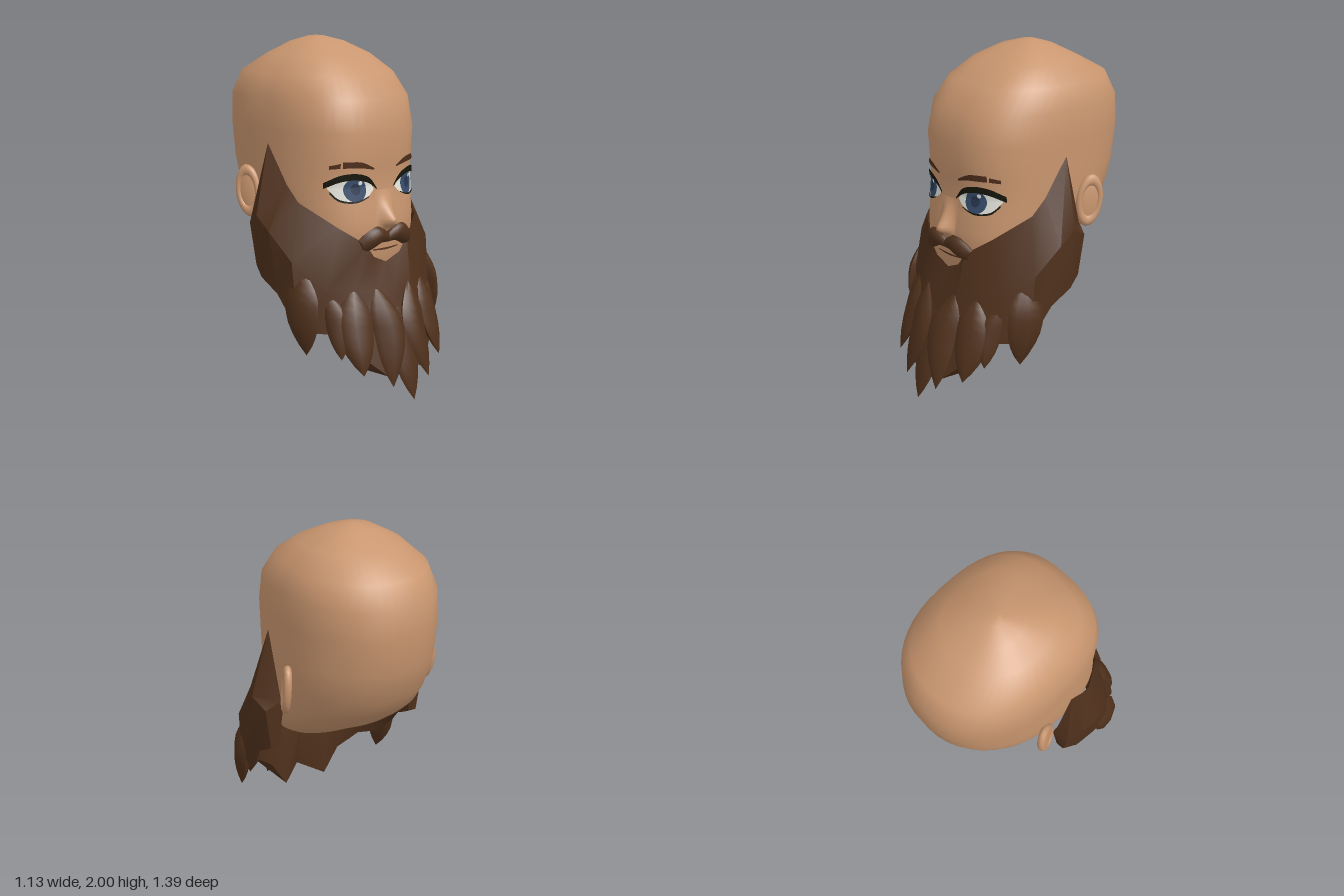
import * as THREE from 'three';
import { toCreasedNormals } from 'three/addons/utils/BufferGeometryUtils.js';

const V = (x, y, z) => new THREE.Vector3(x, y, z);
const paint = (name, color) => Object.assign(new THREE.MeshStandardMaterial({ color }), { name });

// Head cross-sections: height, half width, front z, back z
const HEAD = [
  [2.0, 0.04, -0.1, -0.18], [1.97, 0.15, 0.01, -0.28], [1.9, 0.28, 0.16, -0.42],
  [1.8, 0.385, 0.31, -0.61], [1.67, 0.435, 0.41, -0.68], [1.5, 0.437, 0.455, -0.695],
  [1.3, 0.435, 0.44, -0.665], [1.2, 0.433, 0.43, -0.63], [1.1, 0.425, 0.445, -0.585],
  [1.0, 0.41, 0.46, -0.52], [0.93, 0.395, 0.46, -0.44], [0.85, 0.375, 0.45, -0.33],
  [0.78, 0.345, 0.44, -0.2], [0.7, 0.29, 0.42, -0.06], [0.63, 0.2, 0.38, 0.08], [0.6, 0.02, 0.24, 0.2],
];
const FRONT_POWER = 2.6, BACK_POWER = 2.15;

// Front surface of the head at x, y
function headZ(x, y) {
  const i = Math.max(1, HEAD.findIndex((r) => r[0] <= y));
  const a = HEAD[i - 1], b = HEAD[i], t = (a[0] - y) / (a[0] - b[0]);
  const [w, zf, zb] = [1, 2, 3].map((k) => a[k] + (b[k] - a[k]) * t);
  const c = (zf + zb) / 2;
  const u = Math.min(1, Math.abs(x) / w);
  return c + (zf - c) * Math.pow(1 - Math.pow(u, FRONT_POWER), 1 / FRONT_POWER);
}

// Closed skin over rings of points, capped at both ends and always facing outward
function loft(rings, crease) {
  const n = rings[0].length, pts = rings.flat(), idx = [];
  for (let i = 0; i < rings.length - 1; i++) {
    for (let j = 0; j < n; j++) {
      const a = i * n + j, b = i * n + (j + 1) % n;
      idx.push(a, b, a + n, b, b + n, a + n);
    }
  }
  const last = (rings.length - 1) * n;
  for (let j = 1; j < n - 1; j++) idx.push(0, j + 1, j, last, last + j, last + j + 1);
  let volume = 0;
  for (let i = 0; i < idx.length; i += 3) {
    volume += pts[idx[i]].dot(pts[idx[i + 1]].clone().cross(pts[idx[i + 2]]));
  }
  if (volume < 0) idx.reverse();
  const g = new THREE.BufferGeometry().setFromPoints(pts);
  g.setIndex(idx);
  if (crease) return toCreasedNormals(g, crease);
  g.computeVertexNormals();
  return g;
}

// Tapered lock of hair along a path; u and v are the width and depth directions
function lock(path, widths, depth, u, v, rows = 10, sides = 8) {
  const curve = new THREE.CatmullRomCurve3(path);
  const rings = [];
  for (let i = 0; i < rows; i++) {
    const t = i / (rows - 1), f = t * (widths.length - 1), k = Math.min(Math.floor(f), widths.length - 2);
    const r = widths[k] + (widths[k + 1] - widths[k]) * (f - k);
    rings.push(Array.from({ length: sides }, (_, j) => {
      const a = (j / sides) * Math.PI * 2;
      return curve.getPoint(t).addScaledVector(u, r * Math.cos(a)).addScaledVector(v, r * depth * Math.sin(a));
    }));
  }
  return loft(rings, 0.9);
}

// Thin plate between a lower and an upper curve, laid on the face, with an optional bump
function plate(lo, hi, side, lift, bump = () => 0) {
  const columns = 20, rows = 12;
  const curves = [lo, hi].map((c) => new THREE.SplineCurve(c.map((p) => new THREE.Vector2(...p))));
  const pts = [], idx = [];
  for (let i = 0; i <= columns; i++) {
    const a = curves[0].getPoint(i / columns), b = curves[1].getPoint(i / columns);
    for (let j = 0; j <= rows; j++) {
      const p = a.clone().lerp(b, j / rows);
      pts.push(V(p.x * side, p.y, headZ(p.x, p.y) + lift + bump(p.x, p.y)));
      if (i < columns && j < rows) {
        const k = i * (rows + 1) + j, m = k + rows + 1;
        idx.push(k, m, k + 1, m, m + 1, k + 1);
      }
    }
  }
  if (side < 0) idx.reverse();
  const g = new THREE.BufferGeometry().setFromPoints(pts);
  g.setIndex(idx);
  g.computeVertexNormals();
  return g;
}

// Lower or upper half of an ellipse, from left to right
const arc = (x, y, rx, ry, sign) => Array.from({ length: 11 }, (_, i) => {
  const a = Math.PI * (1 - i / 10);
  return [x + rx * Math.cos(a), y + sign * ry * Math.sin(a)];
});

export function createModel() {
  const model = new THREE.Group();
  const skin = paint('skin', 0xc9966f), hair = paint('beard brown', 0x50311c);
  const brow = paint('brow brown', 0x4f2e1b), white = paint('eye white', 0xe6e6de);
  const iris = paint('iris blue', 0x384d6c), pupil = paint('pupil navy', 0x28374f);
  const lash = paint('lash black', 0x17160b), lip = paint('mouth line', 0x5f3626);
  const add = (name, geometry, material, parent = model) => {
    const mesh = new THREE.Mesh(geometry, material);
    mesh.name = name;
    parent.add(mesh);
  };

  // Head
  add('head', loft(HEAD.map(([y, w, zf, zb]) => Array.from({ length: 48 }, (_, j) => {
    const a = (j / 48) * Math.PI * 2, s = Math.sin(a), c = Math.cos(a);
    const e = 2 / (c > 0 ? FRONT_POWER : BACK_POWER);
    return V(w * Math.sign(s) * Math.abs(s) ** e, y,
      (zf + zb) / 2 + (zf - zb) / 2 * Math.sign(c) * Math.abs(c) ** e);
  }))), skin);

  // Nose: a soft bump that fades into the face
  add('nose', plate([[-0.075, 0.935], [0.075, 0.935]], [[-0.075, 1.17], [0.075, 1.17]], 1, 0.001, (x, y) => {
    const rise = y > 1 ? Math.max(0, (1.17 - y) / 0.17) ** 1.5 : THREE.MathUtils.smoothstep(y, 0.94, 1);
    return 0.077 * rise * Math.cos((x / 0.075) * Math.PI / 2) ** 2;
  }), skin);

  // Mouth
  add('mouthLine', plate([[-0.1, 0.834], [0, 0.826], [0.1, 0.834]], [[-0.1, 0.84], [0, 0.838], [0.1, 0.84]], 1, 0.006), lip);

  // Beard shell: each column is top edge, bulge, lower edge, inner lower edge, inner middle
  const half = [
    [[0, 0.757, 0.457], [0, 0.6, 0.53], [0, 0.2, 0.63], [0, 0.2, 0.52], [0, 0.6, 0.43]],
    [[0.1, 0.8, 0.462], [0.14, 0.6, 0.52], [0.14, 0.15, 0.63], [0.14, 0.14, 0.41], [0.13, 0.58, 0.41]],
    [[0.16, 0.88, 0.462], [0.25, 0.62, 0.48], [0.27, 0.27, 0.55], [0.24, 0.3, 0.41], [0.2, 0.62, 0.38]],
    [[0.3, 0.98, 0.385], [0.4, 0.64, 0.4], [0.4, 0.4, 0.42], [0.36, 0.4, 0.35], [0.32, 0.68, 0.31]],
    [[0.42, 1.11, 0.19], [0.53, 0.8, 0.26], [0.505, 0.4, 0.28], [0.45, 0.45, 0.22], [0.4, 0.85, 0.2]],
    [[0.435, 1.2, 0.11], [0.56, 0.95, 0.1], [0.535, 0.6, 0.14], [0.46, 0.62, 0.12], [0.41, 0.95, 0.1]],
    [[0.463, 1.425, -0.02], [0.567, 1.03, 0.0], [0.535, 0.67, 0.0], [0.46, 0.67, 0.0], [0.43, 1.0, 0.0]],
    [[0.455, 1.02, -0.13], [0.535, 0.97, -0.1], [0.5, 0.72, -0.09], [0.45, 0.72, -0.09], [0.43, 0.95, -0.11]],
  ];
  const column = (c, s) => c.map(([x, y, z]) => V(x * s, y, z));
  const columns = [...half.slice(1).reverse().map((c) => column(c, -1)), ...half.map((c) => column(c, 1))];
  add('beard', loft(columns, 0.6), hair);

  // Beard locks: top, middle, tip, half width, facing angle
  const locks = [
    [[0.125, 0.63, 0.51], [0.095, 0.4, 0.585], [0.14, 0.1, 0.67], 0.1, 0.25],
    [[0.26, 0.64, 0.46], [0.285, 0.42, 0.51], [0.3, 0.18, 0.6], 0.105, 0.5],
    [[0.38, 0.62, 0.39], [0.36, 0.45, 0.45], [0.385, 0.27, 0.51], 0.07, 0.8],
    [[0.47, 0.745, 0.28], [0.495, 0.53, 0.3], [0.49, 0.28, 0.335], 0.112, 1.3],
  ];
  const taper = [0.12, 0.68, 0.95, 1, 0.88, 0.6, 0.01];
  const addLock = ([a, b, c, w, angle], s) => add('beardLock',
    lock([a, b, c].map(([x, y, z]) => V(x * s, y, z)), taper.map((t) => t * w), 0.45,
      V(Math.cos(angle), 0, -Math.sin(angle) * s), V(Math.sin(angle) * s, 0, Math.cos(angle))), hair);
  addLock([[0, 0.6, 0.5], [0, 0.28, 0.605], [0, 0, 0.695], 0.095, 0], 1);

  for (const s of [1, -1]) {
    locks.forEach((l) => addLock(l, s));

    // Moustache
    add('moustache', lock([[-0.005, 0.905, 0.465], [0.07, 0.925, 0.475], [0.13, 0.9, 0.465], [0.185, 0.865, 0.44]]
      .map(([x, y, z]) => V(x * s, y, z)), [0.035, 0.05, 0.056, 0.054, 0.042], 0.6, V(0.35 * s, 0.94, 0), V(0, 0, 1)), hair);

    // Eye
    const eye = new THREE.Group();
    eye.name = s > 0 ? 'leftEye' : 'rightEye';
    model.add(eye);
    add('eyeWhite', plate(
      [[0.08, 1.18], [0.12, 1.145], [0.2, 1.12], [0.28, 1.13], [0.325, 1.195]],
      [[0.08, 1.185], [0.12, 1.235], [0.2, 1.26], [0.28, 1.25], [0.325, 1.2]], s, 0.005), white, eye);
    const disc = (name, x, y, rx, ry, lift, material) => add(name,
      plate(arc(x, y, rx, ry, -1), arc(x, y, rx, ry, 1), s, lift), material, eye);
    disc('iris', 0.197, 1.185, 0.063, 0.068, 0.008, iris);
    disc('pupil', 0.197, 1.188, 0.027, 0.032, 0.01, pupil);
    disc('highlight', 0.197 + 0.025 * s, 1.222, 0.012, 0.012, 0.012, white);
    add('upperLash', plate(
      [[0.065, 1.178], [0.12, 1.218], [0.2, 1.24], [0.28, 1.23], [0.342, 1.195]],
      [[0.065, 1.188], [0.12, 1.25], [0.2, 1.276], [0.28, 1.268], [0.342, 1.228]], s, 0.014), lash, eye);
    add('lowerLash', plate(
      [[0.12, 1.14], [0.2, 1.113], [0.28, 1.122], [0.32, 1.165]],
      [[0.12, 1.145], [0.2, 1.122], [0.28, 1.134], [0.32, 1.18]], s, 0.012), lash, eye);

    // Eyebrow: long inner piece and a short outer one
    add('innerBrow', plate([[0.085, 1.29], [0.17, 1.305], [0.265, 1.308]], [[0.085, 1.3], [0.17, 1.338], [0.265, 1.342]], s, 0.008), brow);
    add('outerBrow', plate([[0.275, 1.308], [0.322, 1.302]], [[0.275, 1.335], [0.322, 1.322]], s, 0.008), brow);

    // Ear
    const ear = new THREE.Group();
    ear.name = s > 0 ? 'leftEar' : 'rightEar';
    ear.position.set(0.457 * s, 1.13, -0.207);
    ear.rotation.set(-0.16, -0.4 * s, 0);
    model.add(ear);
    add('earRim', new THREE.TorusGeometry(0.77, 0.23, 10, 28).rotateY(Math.PI / 2).scale(0.1, 0.152, 0.08), skin, ear);
    add('earBowl', new THREE.SphereGeometry(1, 24, 14).scale(0.02, 0.125, 0.065), skin, ear);
  }
  return model;
}
